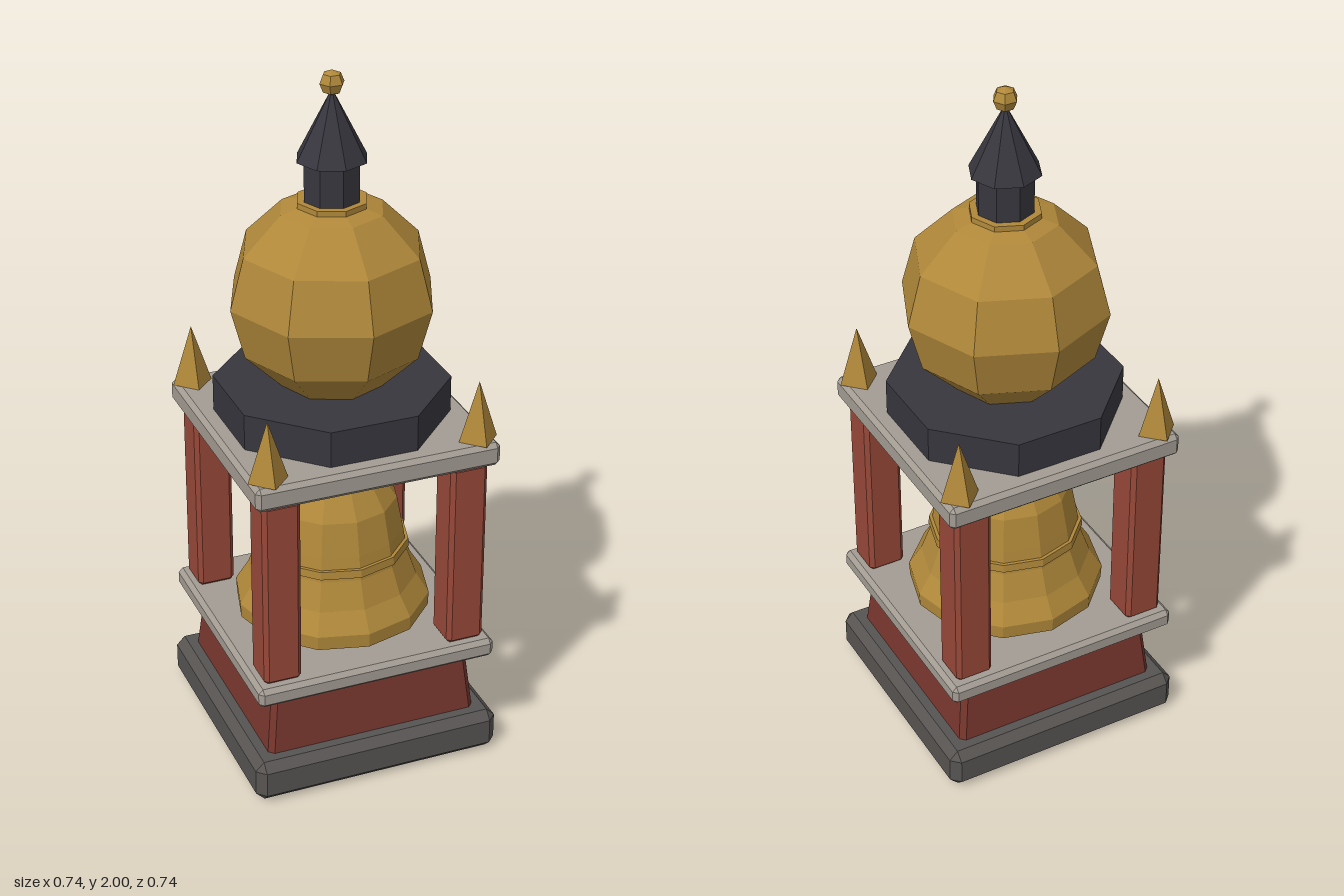
import * as THREE from 'three';
import { ConvexGeometry } from 'three/addons/geometries/ConvexGeometry.js';

const paint = (name, color) => {
  const m = new THREE.MeshStandardMaterial({ color });
  m.name = name;
  return m;
};

// Facet a geometry so every face has its own normal
function facet(geometry) {
  const g = geometry.index ? geometry.toNonIndexed() : geometry;
  g.computeVertexNormals();
  return g;
}

// Box from y0 to y1 with all edges chamfered; top may be narrower than the bottom
function chamferBox(halfX, halfZ, y0, y1, c, taper = 1) {
  const points = [];
  const h = (y1 - y0) / 2;
  for (const sx of [-1, 1]) for (const sy of [-1, 1]) for (const sz of [-1, 1]) {
    for (const [a, b, d] of [[0, c, c], [c, 0, c], [c, c, 0]]) {
      const k = sy > 0 ? taper : 1;
      points.push(new THREE.Vector3(sx * (halfX * k - a), y0 + h + sy * (h - b), sz * (halfZ * k - d)));
    }
  }
  return facet(new ConvexGeometry(points));
}

// Upright prism or cone from y0 to y1
function turned(rTop, rBottom, y0, y1, sides, turn = 0) {
  return facet(new THREE.CylinderGeometry(rTop, rBottom, y1 - y0, sides)
    .rotateY(turn).translate(0, (y0 + y1) / 2, 0));
}

function ball(r, y, around, down) {
  return facet(new THREE.SphereGeometry(r, around, down).translate(0, y, 0));
}

function lathe(profile, sides) {
  return facet(new THREE.LatheGeometry(profile.map(([r, y]) => new THREE.Vector2(r, y)), sides));
}

export function createModel() {
  const model = new THREE.Group();
  model.name = 'bellTower';

  const gold = paint('gold', 0xb0883a);
  const slate = paint('slate', 0x38363e);
  const stone = paint('paleStone', 0xa39c93);
  const darkStone = paint('darkStone', 0x575452);
  const brick = paint('brick', 0x78372e);
  const red = paint('redPost', 0x974838);
  const wood = paint('wood', 0x50301f);

  const add = (name, geometry, material, x = 0, z = 0) => {
    const mesh = new THREE.Mesh(geometry, material);
    mesh.name = name;
    mesh.position.set(x, 0, z);
    model.add(mesh);
  };

  // Base, tapered plinth and the two slabs
  add('base', chamferBox(0.368, 0.368, 0, 0.125, 0.025), darkStone);
  add('plinth', chamferBox(0.317, 0.317, 0.09, 0.315, 0.015, 0.935), brick);
  add('lowerSlab', chamferBox(0.355, 0.355, 0.312, 0.37, 0.013), stone);
  add('upperSlab', chamferBox(0.355, 0.355, 0.935, 1.005, 0.013), stone);

  // Posts and corner spires
  const post = chamferBox(0.055, 0.055, 0.368, 0.937, 0.012);
  const spire = turned(0, 0.057, 1.005, 1.18, 4);
  for (const sx of [-1, 1]) for (const sz of [-1, 1]) {
    add('post', post, red, sx * 0.275, sz * 0.275);
    add('cornerSpire', spire, gold, sx * 0.305, sz * 0.305);
  }

  // Beam and hanging bell
  add('beam', chamferBox(0.3, 0.05, 0.87, 0.94, 0.002), wood);
  add('bellHanger', turned(0.03, 0.03, 0.84, 0.875, 8), slate);
  add('bell', lathe([
    [0, 0.83], [0.1, 0.82], [0.16, 0.71], [0.185, 0.56], [0.255, 0.39],
    [0.28, 0.388], [0.282, 0.43], [0.245, 0.49], [0.216, 0.57], [0.205, 0.64],
    [0.186, 0.74], [0.142, 0.81], [0.115, 0.855], [0.085, 0.862], [0, 0.865],
  ], 12), gold);
  add('bellBand', lathe([[0.205, 0.582], [0.222, 0.582], [0.22, 0.606], [0.2, 0.606]], 12), gold);
  add('clapperRod', turned(0.014, 0.014, 0.43, 0.835, 6), slate);
  add('clapper', ball(0.06, 0.432, 8, 6), slate);

  // Octagonal drum and faceted dome
  add('drum', turned(0.33, 0.33, 1.003, 1.11, 8, Math.PI / 8), slate);
  add('dome', ball(0.293, 1.36, 8, 6), gold);
  add('domeCollar', turned(0.1, 0.1, 1.612, 1.642, 8), gold);

  // Lantern, roof and finial
  add('lantern', turned(0.08, 0.08, 1.63, 1.757, 8), slate);
  add('lanternRoof', turned(0, 0.1, 1.755, 1.95, 8), slate);
  add('finial', ball(0.035, 1.965, 6, 4), gold);

  return model;
}
